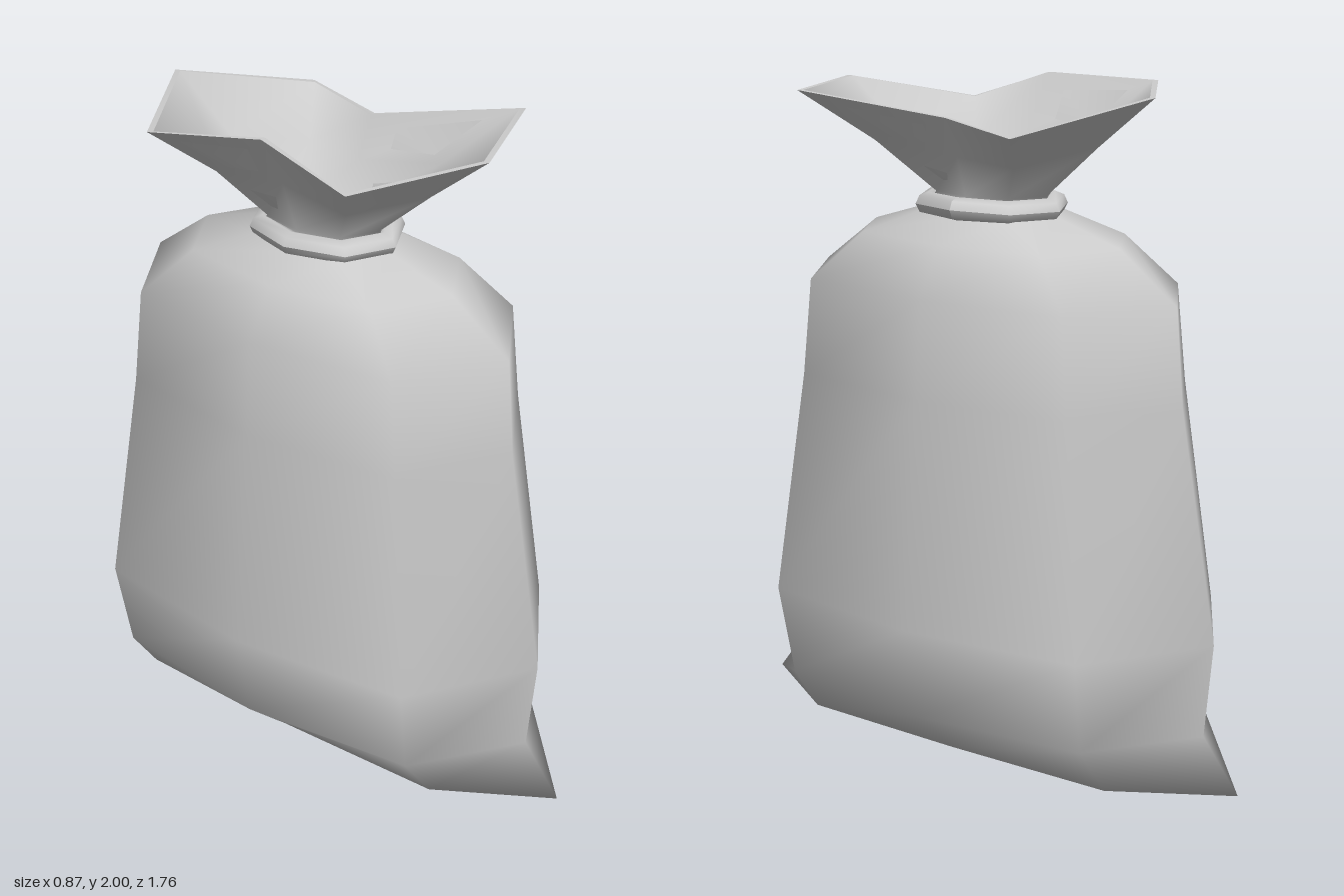
import * as THREE from 'three';

const material = new THREE.MeshStandardMaterial({ color: 0xcccccc, side: THREE.DoubleSide });

// Eight-point ring: half width, shoulder corner (x, z), half depth at the seam
function ring(y, side, cx, cz, tip) {
  return [
    [side, y, 0], [cx, y, cz], [0, y, tip], [-cx, y, cz],
    [-side, y, 0], [-cx, y, -cz], [0, y, -tip], [cx, y, -cz],
  ];
}

// Skins a stack of rings; the outside faces outward when rings run upward
function loft(name, rings, startCap, endCap) {
  const n = rings[0].length;
  const positions = rings.flat(2);
  const index = [];
  for (let r = 0; r < rings.length - 1; r++) {
    for (let i = 0; i < n; i++) {
      const a = r * n + i, b = r * n + (i + 1) % n;
      index.push(a, a + n, b, b, a + n, b + n);
    }
  }
  let next = rings.length * n;
  if (startCap) {
    positions.push(...startCap);
    for (let i = 0; i < n; i++) index.push(next, i, (i + 1) % n);
    next++;
  }
  if (endCap) {
    const base = (rings.length - 1) * n;
    positions.push(...endCap);
    for (let i = 0; i < n; i++) index.push(next, base + (i + 1) % n, base + i);
  }
  const geometry = new THREE.BufferGeometry();
  geometry.setAttribute('position', new THREE.Float32BufferAttribute(positions, 3));
  geometry.setIndex(index);
  geometry.computeVertexNormals();
  const mesh = new THREE.Mesh(geometry, material);
  mesh.name = name;
  return mesh;
}

// Ring between two rings, with its own blend for x, y and z
const blend = (a, b, t) => a.map((p, i) => p.map((v, k) => v + (b[i][k] - v) * t[k]));

// Same ring pulled inward to give the cloth thickness
const shrink = (r, d) => r.map(([x, y, z]) => {
  const s = 1 - d / Math.hypot(x, z);
  return [x * s, y, z * s];
});

export function createModel() {
  const group = new THREE.Group();
  group.name = 'tiedSack';

  // Full sack body, with pointed bottom corners and a gathered neck
  const neck = ring(1.68, 0.135, 0.105, 0.13, 0.19);
  const bodyRings = [
    ring(0, 0.21, 0.2, 0.55, 0.88),
    ring(0.155, 0.38, 0.315, 0.54, 0.76),
    ring(0.44, 0.435, 0.365, 0.555, 0.787),
    ring(1.12, 0.37, 0.308, 0.48, 0.665),
    ring(1.41, 0.353, 0.297, 0.455, 0.64),
    ring(1.555, 0.26, 0.215, 0.32, 0.445),
    ring(1.625, 0.165, 0.13, 0.16, 0.22),
    neck,
  ];

  // Uneven open mouth above the tie
  const mouth = [
    [0.23, 1.915, 0], [0.39, 1.98, 0.41], [0, 1.98, 0.55], [-0.285, 1.91, 0.285],
    [-0.285, 2, 0], [-0.405, 1.985, -0.305], [0, 1.988, -0.555], [0.37, 1.897, -0.33],
  ];
  const flare = blend(neck, mouth, [0.4, 0.5, 0.48]);
  group.add(loft('sackBody', [...bodyRings, flare, mouth], [0, 0, 0]));

  // Rim thickness and the inside of the mouth, pinched shut at the neck
  const innerMouth = shrink(mouth, 0.018);
  group.add(loft('mouthRim', [mouth, innerMouth]));
  group.add(loft('mouthLining',
    [innerMouth, shrink(flare, 0.018), shrink(neck, 0.03)], null, [0, 1.67, 0]));

  // Tie cord around the neck, sagging slightly at the front and back
  const cord = new THREE.TorusGeometry(1, 0.2, 8, 8).rotateX(Math.PI / 2);
  const p = cord.attributes.position;
  for (let i = 0; i < p.count; i++) {
    const x = p.getX(i), y = p.getY(i), z = p.getZ(i);
    p.setXYZ(i, x * 0.168 + 0.008, 1.649 + y * 0.17 - 0.006 * Math.abs(z), z * 0.202);
  }
  cord.computeVertexNormals();
  const tie = new THREE.Mesh(cord, material);
  tie.name = 'tieCord';
  group.add(tie);

  return group;
}
